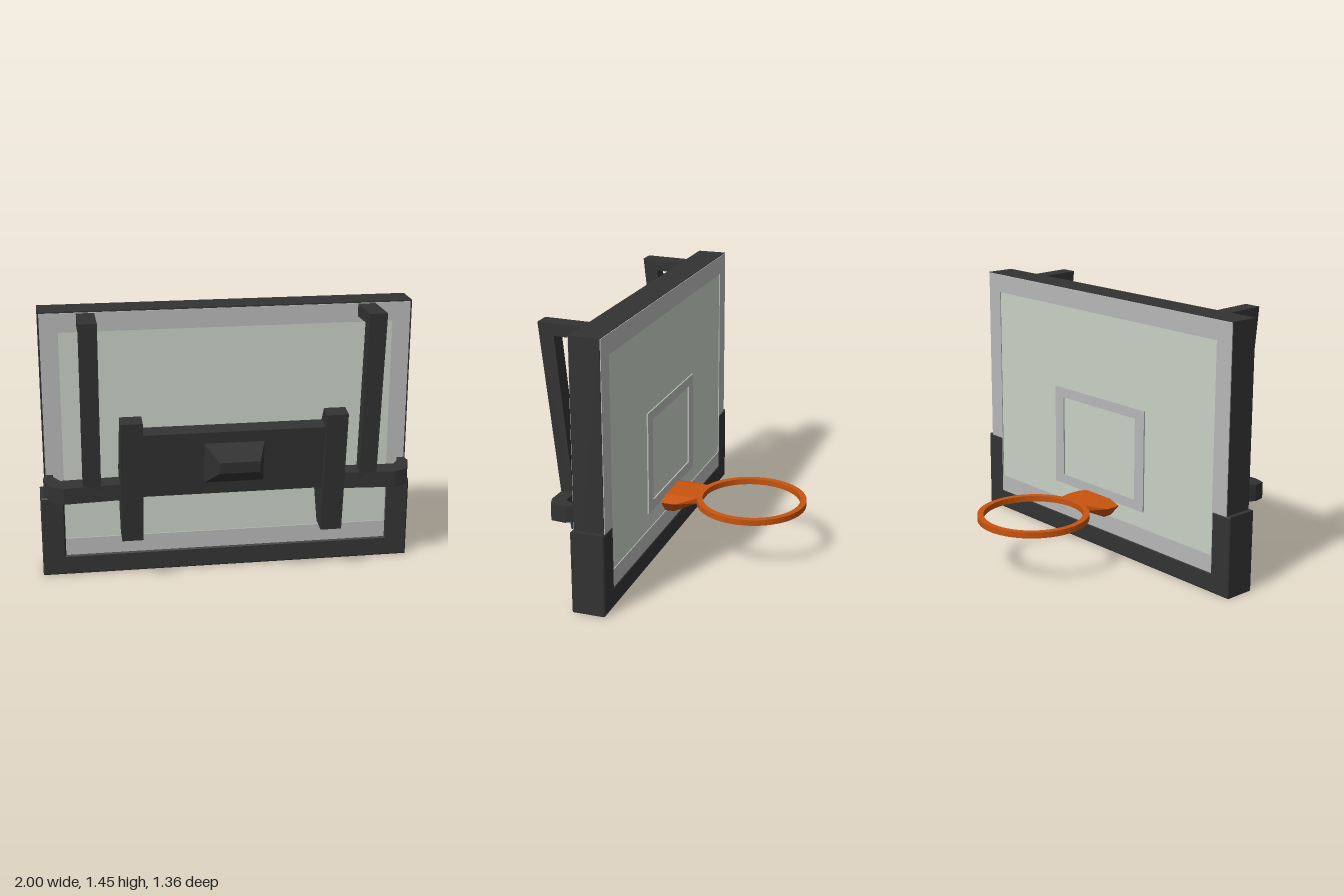
import * as THREE from 'three';
import { ConvexGeometry } from 'three/addons/geometries/ConvexGeometry.js';

const material = (color) => new THREE.MeshStandardMaterial({ color });
const dark = material(0x333333);
const glass = material(0xc8d0c4);
const paint = material(0xb8b8b8);
const orange = material(0xc8540f);

const path = (points) => points.map(([a, b]) => new THREE.Vector2(a, b));
const rect = (x, y0, y1) => path([[-x, y0], [x, y0], [x, y1], [-x, y1]]);

// Outline in x/y, with an optional hole, extruded from z0 to z1
function plate(outline, z0, z1, hole, bevel = 0) {
  const shape = new THREE.Shape(outline);
  if (hole) shape.holes.push(new THREE.Path(hole));
  const geometry = new THREE.ExtrudeGeometry(shape, {
    depth: z1 - z0 - 2 * bevel, bevelEnabled: bevel > 0, bevelSegments: 1,
    bevelSize: bevel, bevelThickness: bevel, bevelOffset: -bevel,
  });
  return geometry.translate(0, 0, z0 + bevel);
}

// Side profile given as [z, y], extruded across x
function profile(points, x0, x1) {
  return plate(path(points), -x1, -x0).rotateY(-Math.PI / 2);
}

export function createModel() {
  const model = new THREE.Group();
  const add = (name, geometry, mat) => {
    const mesh = new THREE.Mesh(geometry, mat);
    mesh.name = name;
    model.add(mesh);
    return mesh;
  };

  // Board: dark frame, glass pane and painted borders on both faces
  add('boardFrame', plate(rect(0.975, 0.05, 1.447), 0.095, 0.255, rect(0.95, 0.08, 1.425)), dark);
  add('glassPane', plate(rect(0.955, 0.07, 1.43), 0.096, 0.254), glass);
  const borderHole = rect(0.872, 0.205, 1.34);
  add('frontBorder', plate(rect(0.966, 0.07, 1.44), 0.25, 0.261, borderHole), paint);
  add('backBorder', plate(rect(0.972, 0.07, 1.444), 0.091, 0.1, borderHole), paint);
  add('targetBox', plate(rect(0.365, 0.3, 0.87), 0.088, 0.1, rect(0.295, 0.355, 0.815)), paint);

  // Padding around the lower edge
  const padding = path([[-1, 0], [1, 0], [1, 0.445], [0.875, 0.445],
    [0.875, 0.11], [-0.875, 0.11], [-0.875, 0.445], [-1, 0.445]]);
  add('edgePadding', plate(padding, 0.087, 0.269, null, 0.007), dark);

  // Mounting hardware, mirrored on both sides
  const bracket = [[0.535, 0.925], [0.451, 0.938], [0.363, 0.798], [0.263, 0.598],
    [0.263, 0.433], [0.343, 0.265], [0.447, 0.253]];
  const post = [[0.505, 1.442], [0.255, 1.437], [0.255, 1.37], [0.42, 1.378],
    [0.335, 0.5], [0.403, 0.5]];
  const arm = [[0.5, 0.395], [0.877, 0.416], [0.947, 0.39], [0.98, 0.3], [0.965, 0.25],
    [0.925, 0.25], [0.933, 0.275], [0.893, 0.33], [0.5, 0.315]];
  for (const side of [1, -1]) {
    const label = side > 0 ? 'left' : 'right';
    const span = (a, b) => (side > 0 ? [a, b] : [-b, -a]);
    add(label + 'Bracket', profile(bracket, ...span(0.473, 0.585)), dark);
    add(label + 'Post', profile(post, ...span(0.685, 0.778)), dark);
    // The arm is drawn in plan and tilted up towards the board
    const geometry = plate(path(arm.map(([x, z]) => [side * x, -z])), 0.465, 0.553);
    geometry.rotateX(-Math.PI / 2);
    const position = geometry.attributes.position;
    for (let i = 0; i < position.count; i++) {
      position.setY(i, position.getY(i) + 0.14 * (0.41 - position.getZ(i)));
    }
    geometry.computeVertexNormals();
    add(label + 'Arm', geometry, dark);
  }

  // Cross plate between the brackets
  const crossPlate = [[0.5, 0.85], [0.41, 0.863], [0.27, 0.6], [0.27, 0.5], [0.455, 0.5]];
  add('crossPlate', profile(crossPlate, -0.48, 0.48), dark);

  // Convex solid from [half width, y, z] points
  const solid = (points) => new ConvexGeometry(points.flatMap(([x, y, z]) =>
    [new THREE.Vector3(x, y, z), new THREE.Vector3(-x, y, z)]));

  // Tapered stub on the cross plate
  add('mountStub', solid([[0.158, 0.79, 0.485], [0.158, 0.56, 0.455],
    [0.103, 0.748, 0.678], [0.103, 0.688, 0.67]]), dark);

  // Hoop and its bracket
  add('hoopBracket', solid([[0.1, 0.31, 0.09], [0.1, 0.31, -0.095],
    [0.17, 0.285, 0.09], [0.17, 0.285, 0.01], [0.105, 0.215, 0.09],
    [0.105, 0.215, 0.04], [0.1, 0.28, -0.095]]), orange);
  const hoop = new THREE.LatheGeometry(path([[0.27, 0], [0.303, 0], [0.303, 0.032],
    [0.27, 0.032], [0.27, 0]]), 48).toNonIndexed();
  hoop.computeVertexNormals();
  add('hoop', hoop, orange).position.set(0, 0.28, -0.378);

  return model;
}
